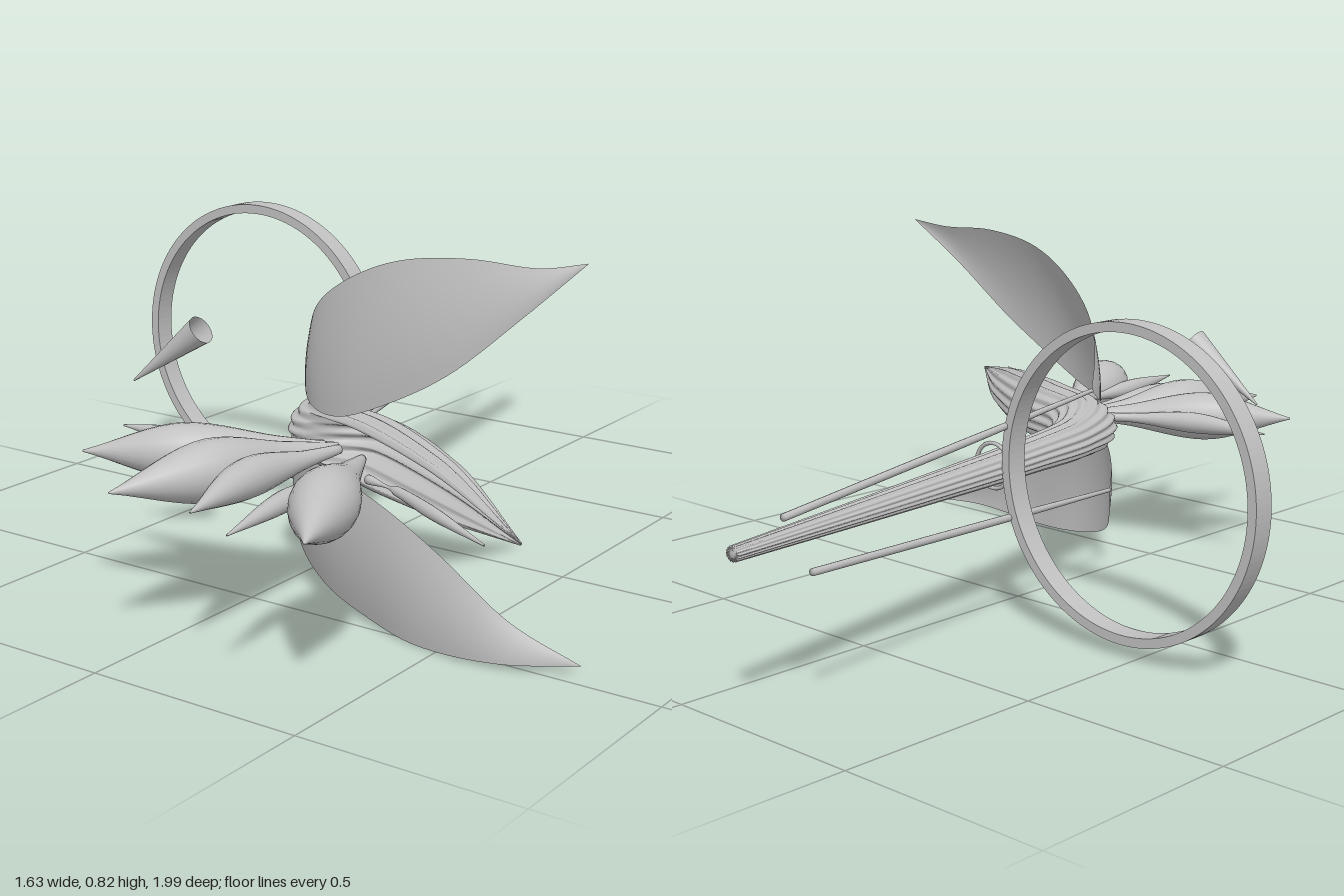
import * as THREE from 'three';

const V = (x, y, z) => new THREE.Vector3(x, y, z);
const UP = V(0, 1, 0);

function gridGeometry(points, indices) {
  const g = new THREE.BufferGeometry();
  g.setAttribute('position', new THREE.Float32BufferAttribute(points.flatMap(p => [p.x, p.y, p.z]), 3));
  g.setIndex(indices);
  g.computeVertexNormals();
  return g;
}

// Closed tube along a path; sizes are [half width, half height] at each path point
function loft(path, sizes, steps, sides, profile = (t, a) => [Math.cos(a), Math.sin(a)]) {
  const curve = new THREE.CatmullRomCurve3(path);
  const size = new THREE.CatmullRomCurve3(sizes.map(s => V(s[0], s[1], 0)));
  const pts = [], idx = [];
  for (let i = -1; i <= steps + 1; i++) {
    const t = Math.min(1, Math.max(0, i / steps));
    const shrink = i < 0 || i > steps ? 0 : 1;
    const c = curve.getPoint(t), s = size.getPoint(t);
    const side = UP.clone().cross(curve.getTangent(t)).normalize();
    for (let j = 0; j < sides; j++) {
      const [u, v] = profile(t, j / sides * Math.PI * 2);
      pts.push(c.clone().addScaledVector(side, u * s.x * shrink).addScaledVector(UP, v * s.y * shrink));
    }
  }
  for (let i = 0; i < steps + 2; i++) for (let j = 0; j < sides; j++) {
    const a = i * sides + j, b = i * sides + (j + 1) % sides;
    idx.push(a, b, a + sides, b, b + sides, a + sides);
  }
  return gridGeometry(pts, idx);
}

// Leaf blade spanned between two edge curves that meet at both ends
function blade(edgeA, edgeB, bulge) {
  const ca = new THREE.CatmullRomCurve3(edgeA), cb = new THREE.CatmullRomCurve3(edgeB);
  const n = 40, m = 10, pts = [], idx = [];
  for (let i = 0; i <= n; i++) for (let j = 0; j <= m; j++) {
    const t = i / n, k = j / m;
    const p = ca.getPoint(t).lerp(cb.getPoint(t), k);
    p.z += bulge * 4 * k * (1 - k) * Math.sin(Math.PI * t);
    pts.push(p);
    if (i < n && j < m) {
      const a = i * (m + 1) + j, b = a + m + 1;
      idx.push(a, a + 1, b, a + 1, b + 1, b);
    }
  }
  return gridGeometry(pts, idx);
}

export function createModel() {
  const model = new THREE.Group();
  const grey = new THREE.MeshStandardMaterial({ color: 0xc0c0c0, side: THREE.DoubleSide });
  grey.name = 'light grey';
  const add = (name, geometry) => {
    const mesh = new THREE.Mesh(geometry, grey);
    mesh.name = name;
    model.add(mesh);
    return mesh;
  };

  // Ribbed stem that bends into a grooved, pointed sheath
  const Y = 0.358;
  const stemPath = [[-0.185, -1], [-0.115, -0.5], [-0.04, 0], [0.005, 0.2], [0.09, 0.33],
    [0.26, 0.4], [0.52, 0.535], [0.81, 0.72]].map(p => V(p[0], Y, p[1]));
  const stemSizes = [[0.017, 0.016], [0.034, 0.028], [0.05, 0.04], [0.062, 0.048], [0.085, 0.066],
    [0.088, 0.07], [0.06, 0.055], [0.003, 0.003]];
  add('stemAndSheath', loft(stemPath, stemSizes, 70, 96, (t, a) => {
    const r = 1 + 0.06 * Math.cos(16 * a);
    let u = Math.cos(a) * r;
    const open = THREE.MathUtils.smoothstep(t, 0.55, 0.68);
    if (u < -0.55) u = -0.55 + (u + 0.55) * (1 - 3.4 * open);
    return [u, Math.sin(a) * r];
  }));

  // Flower buds and slim petals: base, neck, belly, tip in (x, z), then belly radius
  const petals = [
    ['bud', [0.17, 0.42], [0.08, 0.5], [-0.07, 0.625], [-0.25, 0.75], 0.061],
    ['bud', [0.18, 0.42], [0.12, 0.53], [0.06, 0.7], [-0.01, 0.93], 0.066],
    ['bud', [0.27, 0.46], [0.315, 0.58], [0.38, 0.74], [0.485, 0.945], 0.07],
    ['petal', [0.14, 0.42], [0.05, 0.48], [-0.1, 0.54], [-0.31, 0.555], 0.026],
    ['petal', [0.19, 0.43], [0.175, 0.53], [0.155, 0.69], [0.2, 0.93], 0.042],
    ['petal', [0.28, 0.48], [0.295, 0.62], [0.305, 0.77], [0.34, 0.99], 0.022],
    ['petal', [0.36, 0.565], [0.45, 0.595], [0.57, 0.66], [0.76, 0.765], 0.013],
  ];
  for (const [name, a, b, c, d, r] of petals) {
    const path = [a, b, c, d].map(p => V(p[0], Y, p[1]));
    const sizes = [0.01, Math.max(0.01, r * 0.45), r, 0.002].map(s => [s, s]);
    add(name, loft(path, sizes, 24, 20));
  }

  // Two broad leaves
  const pts = list => list.map(p => V(...p));
  add('upperLeaf', blade(
    pts([[-0.055, 0.485, 0.2], [-0.02, 0.56, 0.25], [0.05, 0.64, 0.31], [0.2, 0.73, 0.38],
      [0.35, 0.785, 0.42], [0.52, 0.808, 0.435], [0.67, 0.805, 0.425], [0.76, 0.82, 0.395]]),
    pts([[-0.055, 0.485, 0.2], [-0.02, 0.445, 0.27], [0.08, 0.425, 0.38], [0.2, 0.435, 0.445],
      [0.35, 0.495, 0.475], [0.5, 0.58, 0.48], [0.65, 0.71, 0.45], [0.76, 0.82, 0.395]]), 0.015));
  add('lowerLeaf', blade(
    pts([[-0.055, 0.225, 0.27], [0, 0.275, 0.34], [0.1, 0.315, 0.42], [0.2, 0.315, 0.465],
      [0.35, 0.28, 0.5], [0.5, 0.21, 0.515], [0.66, 0.095, 0.5], [0.8, 0.02, 0.455]]),
    pts([[-0.055, 0.225, 0.27], [-0.03, 0.165, 0.3], [0.03, 0.095, 0.36], [0.15, 0.045, 0.43],
      [0.3, 0.015, 0.48], [0.45, 0.002, 0.52], [0.65, 0.012, 0.525], [0.8, 0.02, 0.455]]), 0.015));

  // Leaf stalks
  for (const [a, b] of [[[-0.255, 0.43, -0.93], [-0.055, 0.485, 0.2]],
    [[-0.255, 0.305, -0.86], [-0.055, 0.225, 0.27]]]) {
    const path = [V(...a), V(...a).lerp(V(...b), 0.5), V(...b)];
    add('leafStalk', loft(path, [[0.008, 0.008], [0.009, 0.009], [0.005, 0.005]], 10, 12));
  }

  // Flat hoop
  const rim = new THREE.Shape().absarc(0, 0, 0.355, 0, Math.PI * 2);
  rim.holes.push(new THREE.Path().absarc(0, 0, 0.333, 0, Math.PI * 2));
  add('hoop', new THREE.ExtrudeGeometry(rim, { depth: 0.052, bevelEnabled: false, curveSegments: 64 }))
    .position.set(-0.465, 0.387, -0.17);

  // Thin loop tying the stem to the hoop
  add('stemLoop', new THREE.TorusGeometry(0.053, 0.005, 8, 32)).position.set(-0.056, 0.36, -0.142);

  // Small open cone
  const tip = V(-0.33, 0.445, 0.495), mouth = V(-0.148, 0.582, 0.475);
  const axis = tip.clone().sub(mouth);
  const cone = add('smallCone', new THREE.CylinderGeometry(0.002, 0.033, axis.length(), 20, 1, true));
  cone.position.copy(tip).add(mouth).multiplyScalar(0.5);
  cone.quaternion.setFromUnitVectors(UP, axis.normalize());

  return model;
}
